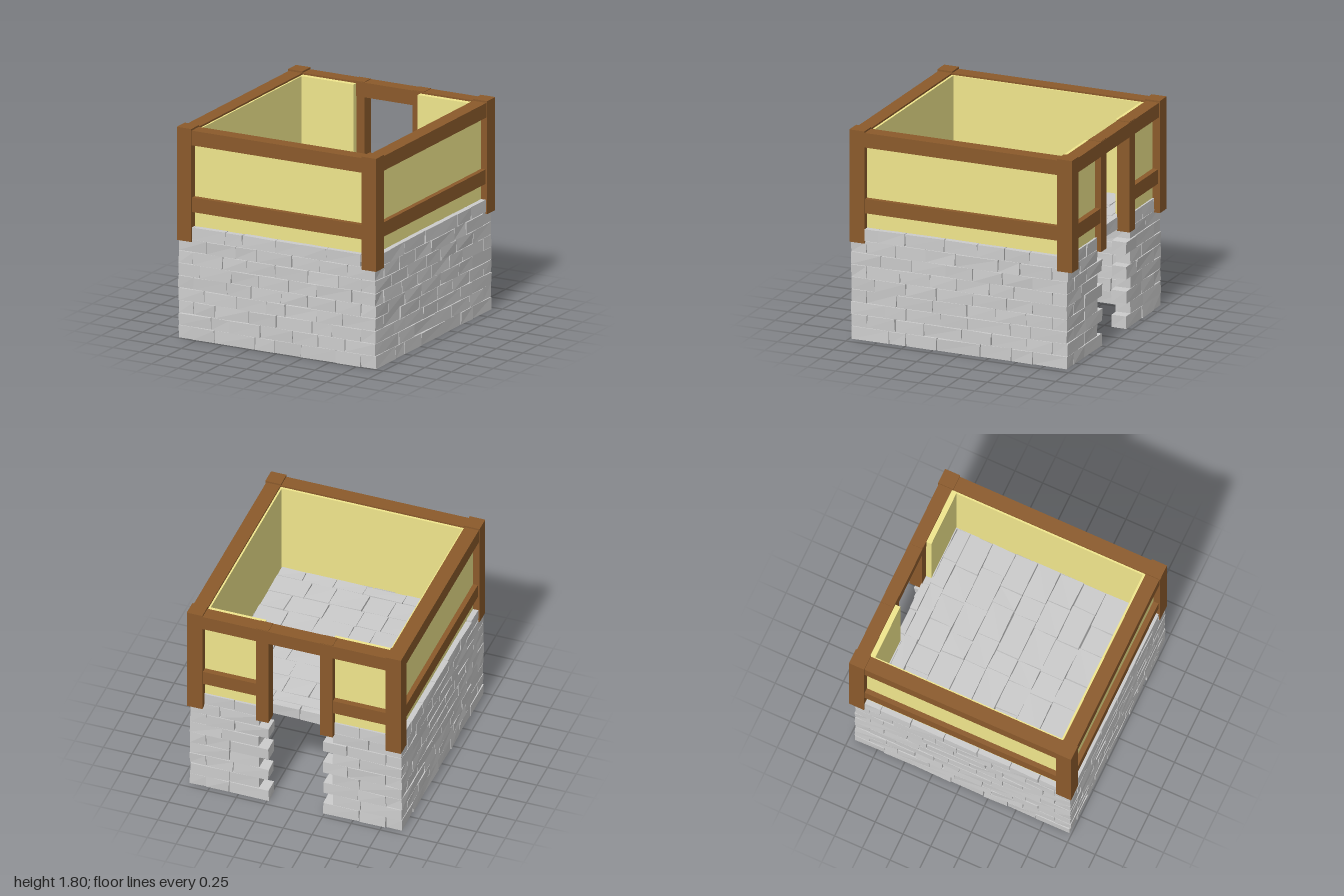
import * as THREE from 'three';

const stone = new THREE.MeshStandardMaterial({ color: 0xcccccc, flatShading: true });
const timber = new THREE.MeshStandardMaterial({ color: 0x8b5a2b, flatShading: true });
const plaster = new THREE.MeshStandardMaterial({ color: 0xf0e68c, flatShading: true });

// small seeded random generator
let seed = 7;
function rand() {
  seed = (seed * 16807) % 2147483647;
  return seed / 2147483647;
}

// box given by its min and max corners
function box(parent, name, material, min, max) {
  const size = max.map((v, i) => v - min[i]);
  const mesh = new THREE.Mesh(new THREE.BoxGeometry(...size), material);
  mesh.position.set(...max.map((v, i) => (v + min[i]) / 2));
  mesh.name = name;
  parent.add(mesh);
  return mesh;
}

// box whose eight corners are nudged a little, like rough-hewn stone
function brick(parent, name, min, max, wobble = 0.005) {
  const mesh = box(parent, name, stone, min, max);
  const p = mesh.geometry.attributes.position;
  const nudge = Array.from({ length: 8 }, () => [0, 1, 2].map(() => (rand() - 0.5) * 2 * wobble));
  for (let i = 0; i < p.count; i++) {
    const k = (p.getX(i) > 0 ? 1 : 0) + (p.getY(i) > 0 ? 2 : 0) + (p.getZ(i) > 0 ? 4 : 0);
    const n = nudge[k];
    const low = mesh.position.y + p.getY(i) < 0.01; // keep the base on the ground
    p.setXYZ(i, p.getX(i) + n[0], p.getY(i) + (low ? 0 : n[1] * 0.6), p.getZ(i) + n[2]);
  }
  mesh.geometry.computeVertexNormals();
}

// split a run into stones of uneven length
function splits(a, b, length) {
  const n = Math.max(1, Math.round((b - a) / length));
  const cuts = [a];
  for (let i = 1; i < n; i++) cuts.push(a + ((b - a) * (i + (rand() - 0.5) * 0.5)) / n);
  cuts.push(b);
  return cuts;
}

// one course of bricks along x (axis 0) or z (axis 2)
function course(parent, axis, a, b, y0, y1, c0, c1, length, name = 'brick') {
  const g = 0.003;
  const cuts = splits(a, b, length);
  for (let i = 0; i < cuts.length - 1; i++) {
    const s = cuts[i] + g, e = cuts[i + 1] - g;
    const lo = y0 === 0 ? 0 : y0 + 0.002;
    if (axis === 0) brick(parent, name, [s, lo, c0], [e, y1 - 0.002, c1]);
    else brick(parent, name, [c0, lo, s], [c1, y1 - 0.002, e]);
  }
}

function makeGroup(parent, name) {
  const g = new THREE.Group();
  g.name = name;
  parent.add(g);
  return g;
}

export function createModel() {
  seed = 7;
  const model = new THREE.Group();
  model.name = 'halfTimberedRoom';

  // stone walls: nine courses, interlocked at the corners, open at the back
  const H = 0.96, rows = 9, h = H / rows;
  const X = 0.922, XI = 0.785, F = 0.99, FI = 0.85, B = -0.952, BI = -0.82;
  const walls = makeGroup(model, 'stoneWalls');
  for (let r = 0; r < rows; r++) {
    const y0 = r * h, y1 = y0 + h;
    const odd = r % 2;
    const xe = odd ? X : XI;
    const z0 = odd ? BI : B, z1 = odd ? FI : F;
    const jamb = odd ? 0.32 : 0.235;
    course(walls, 0, -xe, xe, y0, y1, FI, F, 0.27);
    for (const s of [-1, 1]) {
      course(walls, 2, z0, z1, y0, y1, s > 0 ? XI : -X, s > 0 ? X : -XI, 0.27);
      course(walls, 0, s > 0 ? jamb : -xe, s > 0 ? xe : -jamb, y0, y1, B, BI, 0.27);
    }
  }

  // stone floor level with the wall top, reaching into the doorway
  const floor = makeGroup(model, 'stoneFloor');
  const lines = [-0.82, -0.7, -0.495, -0.29, -0.09, 0.115, 0.32, 0.525, 0.735, 0.85];
  for (let i = 0; i < lines.length - 1; i++) {
    course(floor, 0, -0.785, 0.785, H - h, H, lines[i] + 0.003, lines[i + 1] - 0.003, 0.27, 'floorStone');
  }
  course(floor, 0, -0.235, 0.235, H - h, H, -0.88, -0.82, 0.24, 'thresholdStone');

  // plaster panels, set back from the timber
  const panels = makeGroup(model, 'plasterPanels');
  const pb = 0.945, pt = 1.77;
  box(panels, 'frontPanel', plaster, [-0.87, pb, 0.85], [0.87, pt, 0.94]);
  // timber frame
  const frame = makeGroup(model, 'timberFrame');
  box(frame, 'frontTopBeam', timber, [-0.8, 1.66, 0.87], [0.8, 1.785, 0.993]);
  box(frame, 'backTopBeam', timber, [-0.8, 1.66, -0.993], [0.8, 1.785, -0.875]);
  box(frame, 'frontRail', timber, [-0.8, 1.088, 0.9], [0.8, 1.212, 0.985]);
  for (const s of [-1, 1]) {
    const side = s > 0 ? 'left' : 'right';
    const span = (a, b) => (s > 0 ? [a, b] : [-b, -a]);
    const part = (parent, name, mat, x, y, z) => {
      const [a, b] = span(...x);
      box(parent, side + name, mat, [a, y[0], z[0]], [b, y[1], z[1]]);
    };
    part(panels, 'SidePanel', plaster, [0.785, 0.875], [pb, pt], [-0.93, 0.93]);
    part(panels, 'BackPanel', plaster, [0.3, 0.87], [pb, pt], [-0.935, -0.83]);
    part(frame, 'SideTopBeam', timber, [0.8, 0.925], [1.66, 1.785], [-0.868, 0.868]);
    part(frame, 'SideRail', timber, [0.84, 0.917], [1.092, 1.215], [-0.868, 0.868]);
    part(frame, 'BackRail', timber, [0.33, 0.8], [1.088, 1.212], [-0.985, -0.9]);
    part(frame, 'DoorPost', timber, [0.225, 0.335], [0.838, 1.79], [-0.99, -0.878]);
    part(frame, 'FrontCornerPost', timber, [0.797, 0.932], [0.835, 1.8], [0.865, 1]);
    part(frame, 'BackCornerPost', timber, [0.797, 0.932], [0.835, 1.8], [-1, -0.865]);
  }
  return model;
}
